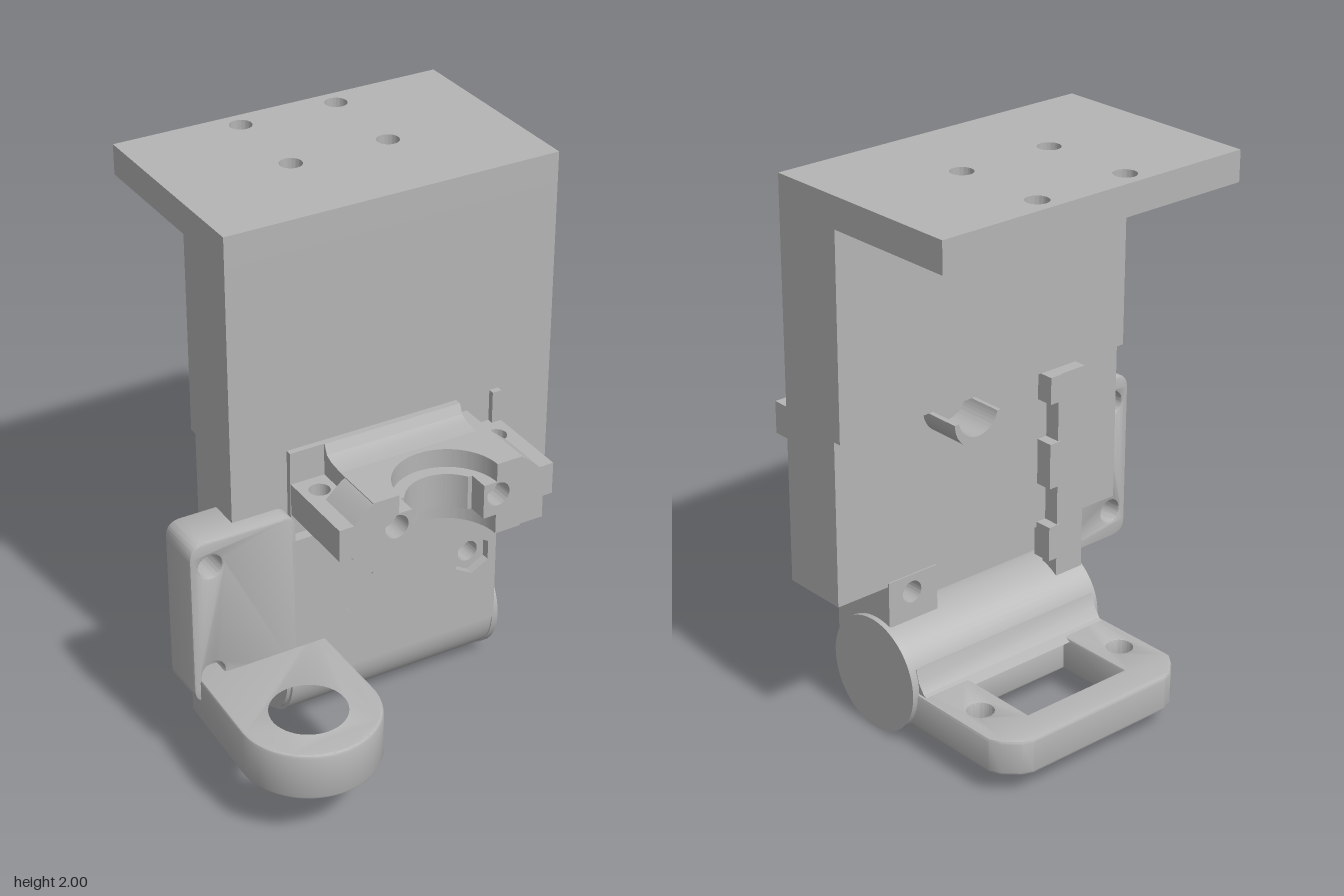
import * as THREE from 'three';
import { toCreasedNormals } from 'three/addons/utils/BufferGeometryUtils.js';

export function createModel() {
  const model = new THREE.Group();
  const grey = new THREE.MeshStandardMaterial({ color: 0xb4b4b4 });

  const add = (name, geo) => {
    const mesh = new THREE.Mesh(geo, grey);
    mesh.name = name;
    model.add(mesh);
    return mesh;
  };
  const box = (name, x0, x1, y0, y1, z0, z1) => {
    const g = new THREE.BoxGeometry(x1 - x0, y1 - y0, z1 - z0);
    return add(name, g.translate((x0 + x1) / 2, (y0 + y1) / 2, (z0 + z1) / 2));
  };
  const poly = (pts) => new THREE.Shape(pts.map((p) => new THREE.Vector2(p[0], p[1])));
  const rect = (a0, a1, b0, b1) => poly([[a0, b0], [a1, b0], [a1, b1], [a0, b1]]);
  const hole = (shape, x, y, r) => {
    shape.holes.push(new THREE.Path().absarc(x, y, r, 0, Math.PI * 2, true));
    return shape;
  };
  const extrude = (shape, depth, bevel) => {
    const b = bevel || 0;
    const g = new THREE.ExtrudeGeometry(shape, {
      depth: depth - 2 * b, curveSegments: 32, bevelEnabled: b > 0,
      bevelThickness: b, bevelSize: b, bevelOffset: -b, bevelSegments: 2,
    });
    return toCreasedNormals(g.translate(0, 0, b), 0.5);
  };
  // Extrusions along each axis; shapes are given in (x,y), (x,z) and (-z,y)
  const exZ = (name, s, z0, z1, b) => add(name, extrude(s, z1 - z0, b).translate(0, 0, z0));
  const exY = (name, s, y0, y1, b) =>
    add(name, extrude(s, y1 - y0, b).rotateX(Math.PI / 2).translate(0, y1, 0));
  const exX = (name, s, x0, x1, b) =>
    add(name, extrude(s, x1 - x0, b).rotateY(Math.PI / 2).translate(x0, 0, 0));

  // Mounting block, stepped in at the lower back
  exX('mountingPlate', poly([[-0.11, 0.56], [0.14, 0.56], [0.14, 1.16], [0.17, 1.16],
    [0.17, 1.89], [-0.11, 1.89]]), -0.53, 0.72);
  const flange = rect(-0.53, 0.72, -0.68, 0.11);
  for (const x of [-0.09, 0.28]) for (const z of [-0.605, -0.255]) hole(flange, x, z, 0.04);
  exY('topFlange', flange, 1.89, 2);

  // Carriage front sheet with hexagonal nut pockets
  const sheet = poly([[-0.32, 0.21], [0.51, 0.21], [0.51, 1.16], [0.475, 1.16],
    [0.475, 1.04], [0.34, 1.04], [0.34, 1.16], [-0.32, 1.16]]);
  for (const y of [0.51, 0.81]) {
    const hex = [];
    for (let i = 0; i < 6; i++) {
      const a = Math.PI / 6 - (i * Math.PI) / 3;
      hex.push(new THREE.Vector2(0.41 + 0.077 * Math.cos(a), y + 0.077 * Math.sin(a)));
    }
    sheet.holes.push(new THREE.Path(hex));
  }
  exZ('carriageFront', sheet, 0.1, 0.132);
  box('carriageCore', -0.32, 0.3, 0.2, 0.56, -0.06, 0.11);
  exZ('screwLug', hole(rect(0.3, 0.51, 0.25, 0.575), 0.41, 0.51, 0.04), -0.145, 0.1);

  // Rear clip strip with teeth
  box('clipStrip', -0.32, -0.2, 0.36, 1.15, -0.2, -0.13);
  for (const [y0, y1] of [[0.45, 0.58], [0.73, 0.9], [1.05, 1.15]]) {
    box('clipTooth', -0.21, -0.16, y0, y1, -0.205, -0.13);
  }
  // Small curved hook on the back
  const hook = new THREE.Shape();
  hook.absarc(0.25, 1.16, 0.1, Math.PI, Math.PI * 2, false);
  hook.absarc(0.25, 1.18, 0.085, Math.PI * 1.93, Math.PI * 1.07, true);
  exZ('backHook', hook, -0.3, -0.13);

  // Hinge barrel with end caps
  const barrel = (name, r, x0, x1) => add(name, new THREE.CylinderGeometry(r, r, x1 - x0, 64)
    .rotateZ(Math.PI / 2).translate((x0 + x1) / 2, 0.21, -0.08));
  barrel('hingeBarrel', 0.206, -0.32, 0.51);
  barrel('rightEndCap', 0.195, -0.335, -0.31);
  barrel('leftEndCap', 0.21, 0.505, 0.53);

  // Rear arm: chamfered frame with a window and two screw holes
  const arm = poly([[-0.32, -0.15], [-0.32, -0.65], [-0.29, -0.69], [-0.24, -0.735],
    [-0.2, -0.75], [0.4, -0.75], [0.44, -0.735], [0.49, -0.69], [0.51, -0.65], [0.51, -0.15]]);
  arm.holes.push(new THREE.Path(rect(-0.13, 0.31, -0.62, -0.32).getPoints().reverse()));
  hole(arm, 0.41, -0.495, 0.045);
  hole(arm, -0.23, -0.495, 0.045);
  exY('rearArm', arm, 0.08, 0.21, 0.01);
  exX('armFillet', poly([[0.24, 0.2], [0.35, 0.2], [0.31, 0.215], [0.285, 0.25], [0.27, 0.3]]),
    -0.31, 0.5);

  // Side tab with rounded corners and two screw holes
  const tab = new THREE.Shape();
  tab.moveTo(-0.32, 0.3);
  tab.lineTo(-0.32, 0.9);
  tab.quadraticCurveTo(-0.33, 0.945, -0.37, 0.945);
  tab.lineTo(-0.66, 0.945);
  tab.quadraticCurveTo(-0.72, 0.945, -0.72, 0.885);
  tab.lineTo(-0.72, 0.36);
  tab.quadraticCurveTo(-0.72, 0.3, -0.66, 0.3);
  hole(hole(tab, -0.645, 0.845, 0.043), -0.645, 0.41, 0.043);
  exZ('sideTab', tab, -0.01, 0.172, 0.01);
  exZ('tabOverlap', poly([[-0.34, 0.3], [-0.11, 0.3], [-0.11, 0.47], [-0.13, 0.49],
    [-0.13, 0.58], [-0.11, 0.6], [-0.11, 0.84], [-0.34, 0.84]]), 0.1, 0.172);

  // Sensor ring reaching forward from the tab
  const ring = new THREE.Shape();
  ring.moveTo(-0.695, 0.1);
  ring.lineTo(-0.71, 0.495);
  ring.absarc(-0.46, 0.495, 0.25, Math.PI, 0, true);
  ring.lineTo(-0.21, 0.1);
  exY('sensorRing', hole(ring, -0.46, 0.495, 0.147), 0.22, 0.4, 0.012);

  // Half clamp: layered centre with a stepped bore
  const cx = 0.0975, front = 0.455;
  const layer = (r, x0, x1) => {
    const s = new THREE.Shape();
    s.moveTo(x0, 0.11);
    s.lineTo(x1, 0.11);
    s.lineTo(x1, front);
    s.lineTo(cx + r, front);
    s.absarc(cx, front, r, 0, -Math.PI, true);
    s.lineTo(x0, front);
    return s;
  };
  exY('clampTop', layer(0.19, -0.19, 0.385), 1.035, 1.105);
  exY('clampBottom', layer(0.19, -0.19, 0.385), 0.83, 0.905);
  const mid = new THREE.Shape();
  mid.moveTo(-0.19, 0.11);
  mid.lineTo(0.385, 0.11);
  mid.lineTo(0.385, 0.38);
  mid.lineTo(cx + 0.124, 0.38);
  mid.absarc(cx, front, 0.145, -0.544, -Math.PI + 0.544, true);
  mid.lineTo(-0.19, 0.38);
  exY('clampMiddle', mid, 0.905, 1.035);
  for (const side of [-1, 1]) {
    const at = (d) => cx + side * d;
    const [a, b] = [at(0.14), at(0.288)].sort((p, q) => p - q);
    exZ('clampFace', hole(rect(a, b, 0.905, 1.035), at(0.1975), 0.98 + 0.005, 0.044), 0.38, front);
    // Wing with vertical screw hole, thickened in front of the hollow
    const [w0, w1] = [at(0.28), at(0.415)].sort((p, q) => p - q);
    exY('clampWing', hole(rect(w0, w1, 0.11, front), at(0.348), 0.207, 0.037), 0.92, 1.04);
    exZ('wingTopSlope', poly([[at(0.28), 1.03], [at(0.37), 1.03], [at(0.345), 1.055],
      [at(0.3), 1.095], [at(0.28), 1.105]]), 0.27, front);
    exZ('wingBottomSlope', poly([[at(0.27), 0.83], [at(0.28), 0.83], [at(0.31), 0.85],
      [at(0.355), 0.9], [at(0.375), 0.93], [at(0.27), 0.93]]), 0.27, front);
  }
  // Fillet blending the clamp into the sheet
  exX('clampFillet', poly([[-0.11, 1.09], [-0.25, 1.09], [-0.24, 1.105], [-0.18, 1.112],
    [-0.15, 1.125], [-0.135, 1.16], [-0.11, 1.16]]), -0.19, 0.34);

  return model;
}
